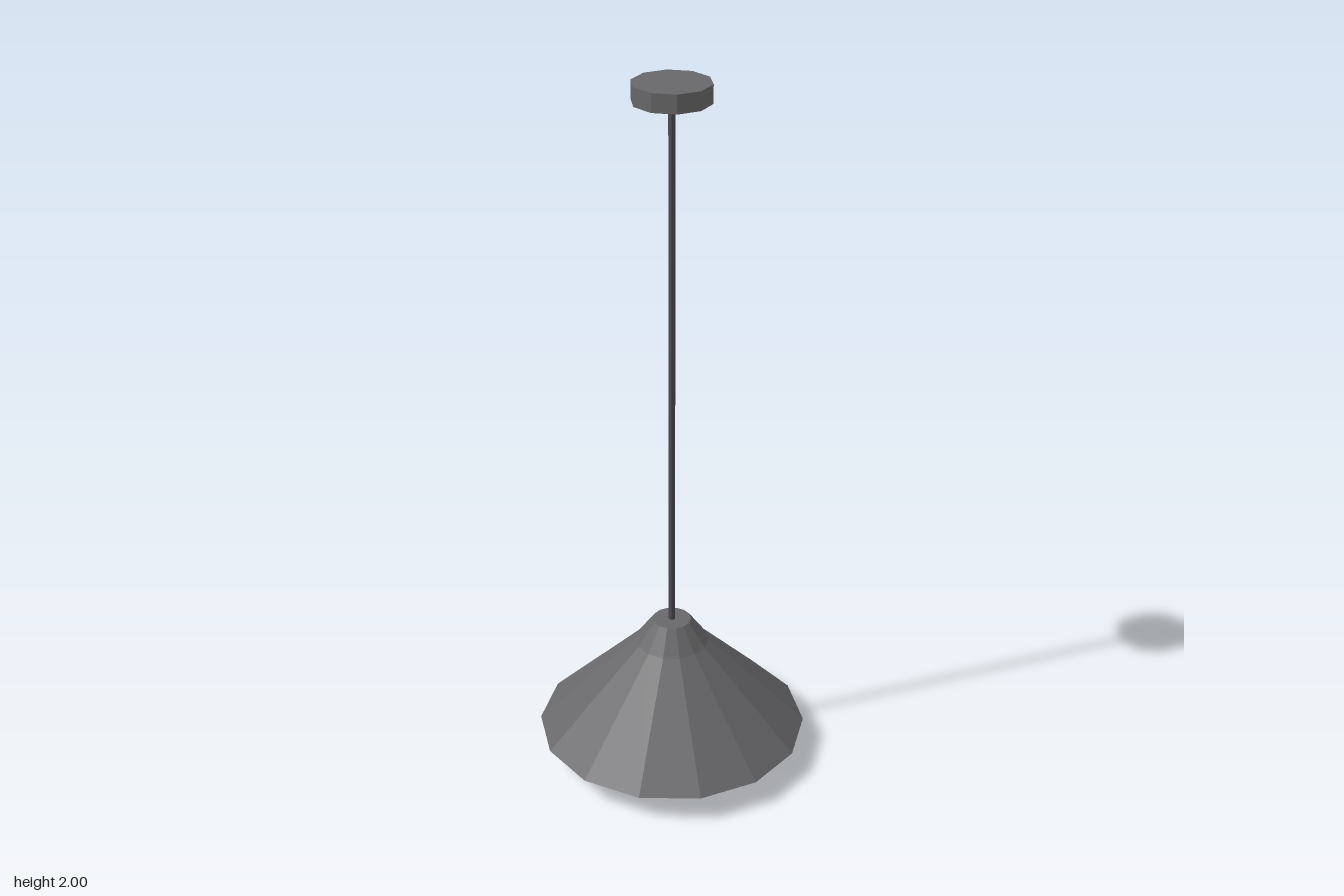
import * as THREE from 'three';

const metal = new THREE.MeshStandardMaterial({ name: 'greyMetal', color: 0x68686a });
const cable = new THREE.MeshStandardMaterial({ name: 'darkCable', color: 0x4c4c52 });
const glass = new THREE.MeshStandardMaterial({ name: 'warmGlass', color: 0xc2ad88 });
for (const m of [metal, cable, glass]) m.flatShading = true;

export function createModel() {
  const model = new THREE.Group();
  model.name = 'pendantLamp';

  const add = (name, geometry, material, y = 0) => {
    const mesh = new THREE.Mesh(geometry, material);
    mesh.name = name;
    mesh.position.y = y;
    model.add(mesh);
  };

  // Upright prism with a corner on the x axis, from y0 to y1
  const prism = (name, radius, y0, y1, sides, material) =>
    add(name, new THREE.CylinderGeometry(radius, radius, y1 - y0, sides, 1, false, Math.PI / 2),
      material, (y0 + y1) / 2);

  // Ceiling mount and hanging rod
  prism('ceilingMount', 0.105, 1.95, 2, 10, metal);
  prism('rod', 0.01, 0.41, 1.96, 6, cable);

  // Fourteen-sided closed shade with a slightly steeper neck
  const profile = [[0, 0.077], [0.385, 0.077], [0.105, 0.355], [0.055, 0.425], [0, 0.425]]
    .map(([r, y]) => new THREE.Vector2(r, y));
  add('shade', new THREE.LatheGeometry(profile, 14, Math.PI / 2), metal);

  // Faceted bulb showing below the shade
  add('bulb', new THREE.IcosahedronGeometry(0.11, 1), glass, 0.11);

  return model;
}
